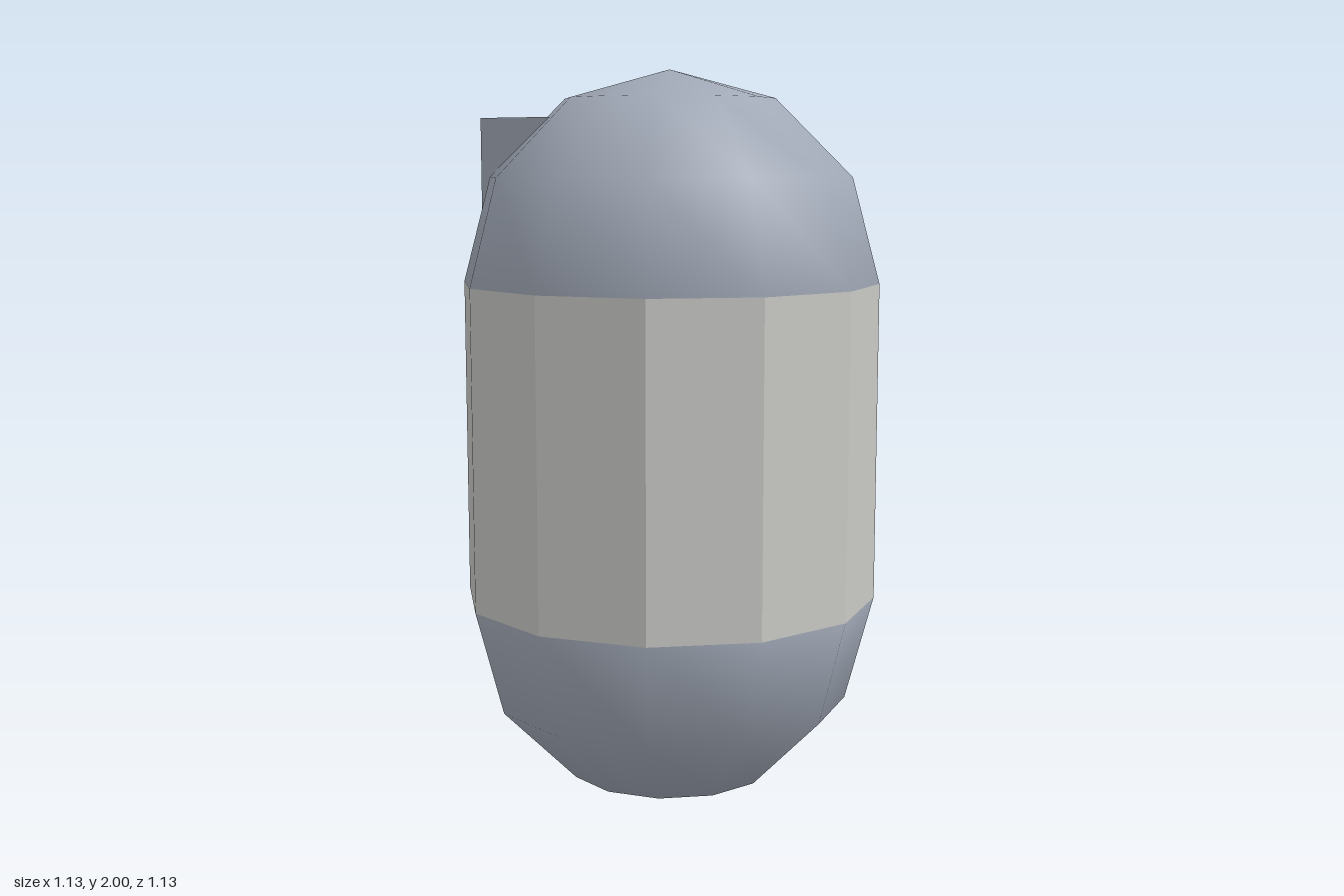
import * as THREE from 'three';

export function createModel() {
  const capPaint = new THREE.MeshStandardMaterial({ color: 0xa1a9b7 });
  capPaint.name = 'blueGrey';
  const bandPaint = new THREE.MeshStandardMaterial({ color: 0xc8c8c5, flatShading: true });
  bandPaint.name = 'paleGrey';
  const panelPaint = new THREE.MeshStandardMaterial({ color: 0xb07768 });
  panelPaint.name = 'rust';

  const model = new THREE.Group();
  const add = (name, geometry, material, x, y, z) => {
    const mesh = new THREE.Mesh(geometry, material);
    mesh.name = name;
    mesh.position.set(x, y, z);
    model.add(mesh);
  };

  const R = 0.565, SIDES = 12;
  const bandTop = 2 - R, bandBottom = R + 0.008;

  // Smooth half-sphere caps, three rings each
  const half = (start) => new THREE.SphereGeometry(R, SIDES, 3, 0, Math.PI * 2, start, Math.PI / 2);
  add('topCap', half(0), capPaint, 0, bandTop, 0);
  const lower = half(Math.PI / 2);
  lower.scale(1, bandBottom / R, 1);
  add('bottomCap', lower, capPaint, 0, bandBottom, 0);

  // Faceted middle band
  const band = new THREE.CylinderGeometry(R, R, bandTop - bandBottom, SIDES, 1, true);
  add('band', band, bandPaint, 0, (bandTop + bandBottom) / 2, 0);

  // Block let into the top cap, with a rust panel on its back face
  const [top, bottom, back, front] = [1.875, 1.47, -0.472, -0.12];
  const block = new THREE.BoxGeometry(0.45, top - bottom, front - back);
  const faces = [capPaint, capPaint, capPaint, capPaint, capPaint, panelPaint];
  add('backBlock', block, faces, 0, (top + bottom) / 2, (front + back) / 2);

  return model;
}
